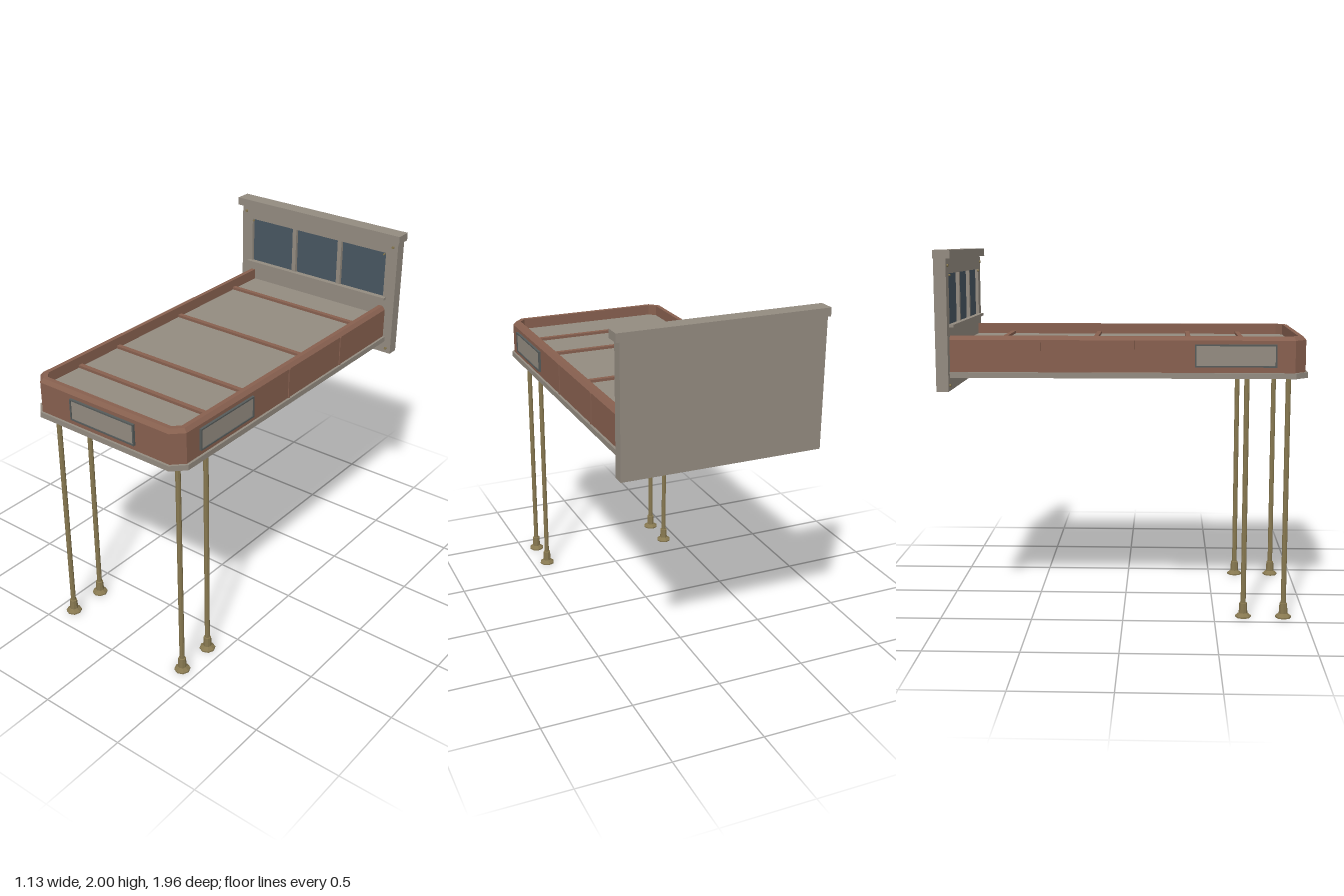
import * as THREE from 'three';

const material = (name, color) => {
  const m = new THREE.MeshStandardMaterial({ color });
  m.name = name;
  return m;
};

export function createModel() {
  const stone = material('warm grey', 0x938b80);
  const wood = material('brown', 0x87604f);
  const glass = material('blue grey glass', 0x485661);
  const frame = material('dark grey', 0x565b5a);
  const brass = material('brass', 0x877850);

  const root = new THREE.Group();
  root.name = 'entranceCanopy';
  const add = (name, geometry, mat, x = 0, y = 0, z = 0, parent = root) => {
    const mesh = new THREE.Mesh(geometry, mat);
    mesh.name = name;
    mesh.position.set(x, y, z);
    parent.add(mesh);
    return mesh;
  };
  // Box given by its minimum and maximum corners
  const box = (name, mat, x0, x1, y0, y1, z0, z1, parent = root) =>
    add(name, new THREE.BoxGeometry(x1 - x0, y1 - y0, z1 - z0), mat,
      (x0 + x1) / 2, (y0 + y1) / 2, (z0 + z1) / 2, parent);

  // Plan of the canopy with clipped front corners, inset by a distance
  const outline = (inset) => {
    const h = 0.505 - inset, f = 0.98 - inset, c = 0.068 - inset * 0.586;
    return [[-h, -0.92], [-h, f - c], [-h + c, f], [h - c, f], [h, f - c], [h, -0.92]];
  };
  // Sweep a closed [inset, y] profile round the three open sides
  const sweep = (profile) => {
    const rings = profile.map(([inset, y]) => outline(inset).map(([x, z]) => [x, y, z]));
    const positions = [];
    for (let j = 0; j < rings.length; j++) {
      const low = rings[j], high = rings[(j + 1) % rings.length];
      for (let i = 0; i < low.length - 1; i++) {
        const a = low[i], b = low[i + 1], c = high[i + 1], d = high[i];
        positions.push(...a, ...b, ...c, ...a, ...c, ...d);
      }
    }
    const g = new THREE.BufferGeometry();
    g.setAttribute('position', new THREE.Float32BufferAttribute(positions, 3));
    g.computeVertexNormals();
    return g;
  };
  // Flat slab filling the plan, with its top at y
  const slab = (name, mat, inset, top, depth) => {
    const shape = new THREE.Shape(outline(inset).map(([x, z]) => new THREE.Vector2(x, z)));
    const g = new THREE.ExtrudeGeometry(shape, { depth, bevelEnabled: false });
    g.rotateX(Math.PI / 2);
    return add(name, g, mat, 0, top, 0);
  };

  // Canopy shell
  add('fascia', sweep([[0.013, 1.35], [0.013, 1.53], [0.03, 1.55], [0.055, 1.55], [0.055, 1.35]]), wood);
  add('bottomTrim', sweep([[0, 1.33], [0, 1.36], [0.05, 1.36], [0.05, 1.33]]), stone);
  slab('roofDeck', stone, 0.05, 1.49, 0.01);
  slab('ceiling', wood, 0.05, 1.48, 0.01);

  // Battens on the roof, with joists beneath them
  for (const z of [-0.7, -0.175, 0.355, 0.655]) {
    box('roofBatten', wood, -0.452, 0.452, 1.485, 1.505, z - 0.013, z + 0.013);
    box('ceilingJoist', stone, -0.452, 0.452, 1.44, 1.475, z - 0.013, z + 0.013);
  }

  // Framed sign panel, facing +z, centred on its own origin
  const signPanel = (name, width) => {
    const g = new THREE.Group();
    g.name = name;
    const w = width / 2, h = 0.06, t = 0.008;
    box('panelPlate', stone, -w + t, w - t, -h + t, h - t, -0.005, 0.006, g);
    for (const s of [-1, 1]) {
      add('panelFrameRail', new THREE.BoxGeometry(width, t, 0.018), frame, 0, s * (h - t / 2), 0.002, g);
      add('panelFrameStile', new THREE.BoxGeometry(t, 2 * h, 0.018), frame, s * (w - t / 2), 0, 0.002, g);
    }
    root.add(g);
    return g;
  };
  signPanel('frontPanel', 0.43).position.set(0, 1.45, 0.969);
  for (const s of [-1, 1]) {
    const panel = signPanel(s > 0 ? 'leftPanel' : 'rightPanel', 0.43);
    panel.position.set(s * 0.494, 1.45, 0.595);
    panel.rotation.y = s * Math.PI / 2;
    // Joint covers along each side
    for (const z of [-0.44, 0.055])
      add('fasciaJoint', new THREE.BoxGeometry(0.01, 0.17, 0.012), wood, s * 0.492, 1.445, z);
  }

  // Slender posts with flared feet
  const foot = new THREE.LatheGeometry([
    [0, 0], [0.044, 0], [0.044, 0.008], [0.024, 0.024], [0.021, 0.08], [0.012, 0.082],
  ].map(([r, y]) => new THREE.Vector2(r, y)), 8).toNonIndexed();
  foot.computeVertexNormals();
  const pole = new THREE.CylinderGeometry(0.014, 0.014, 1.42, 8).toNonIndexed();
  pole.computeVertexNormals();
  for (const x of [-0.41, 0.41]) {
    for (const z of [0.66, 0.88]) {
      const post = new THREE.Group();
      post.name = 'post';
      post.position.set(x, 0, z);
      add('pole', pole, brass, 0, 0.76, 0, post);
      add('foot', foot, brass, 0, 0, 0, post);
      root.add(post);
    }
  }

  // Wall panel with a shallow window opening
  const rect = (Type, x, y0, y1) => new Type([[-x, y0], [x, y0], [x, y1], [-x, y1]]
    .map(([px, py]) => new THREE.Vector2(px, py)));
  const face = rect(THREE.Shape, 0.547, 1.26, 1.96);
  face.holes.push(rect(THREE.Path, 0.473, 1.605, 1.877));
  add('wallFace', new THREE.ExtrudeGeometry(face, { depth: 0.025, bevelEnabled: false }), stone, 0, 0, -0.94);
  box('wallBack', stone, -0.547, 0.547, 1.26, 1.96, -0.98, -0.94);
  box('cornice', stone, -0.565, 0.565, 1.955, 2, -0.98, -0.89);
  box('windowGlass', glass, -0.473, 0.473, 1.605, 1.877, -0.94, -0.933);
  box('windowSill', stone, -0.493, 0.493, 1.595, 1.61, -0.92, -0.89);
  for (const x of [-0.16, 0.16])
    box('mullion', stone, x - 0.013, x + 0.013, 1.605, 1.877, -0.938, -0.914);

  // Brass studs at the corners of the wall and window
  const stud = (x, y, r) => {
    const g = new THREE.CylinderGeometry(r, r, 0.012, 8);
    g.rotateX(Math.PI / 2);
    add('stud', g, brass, x, y, -0.913);
  };
  for (const s of [-1, 1]) {
    stud(s * 0.517, 1.92, 0.008);
    stud(s * 0.517, 1.29, 0.008);
    stud(s * 0.463, 1.868, 0.005);
  }
  return root;
}
